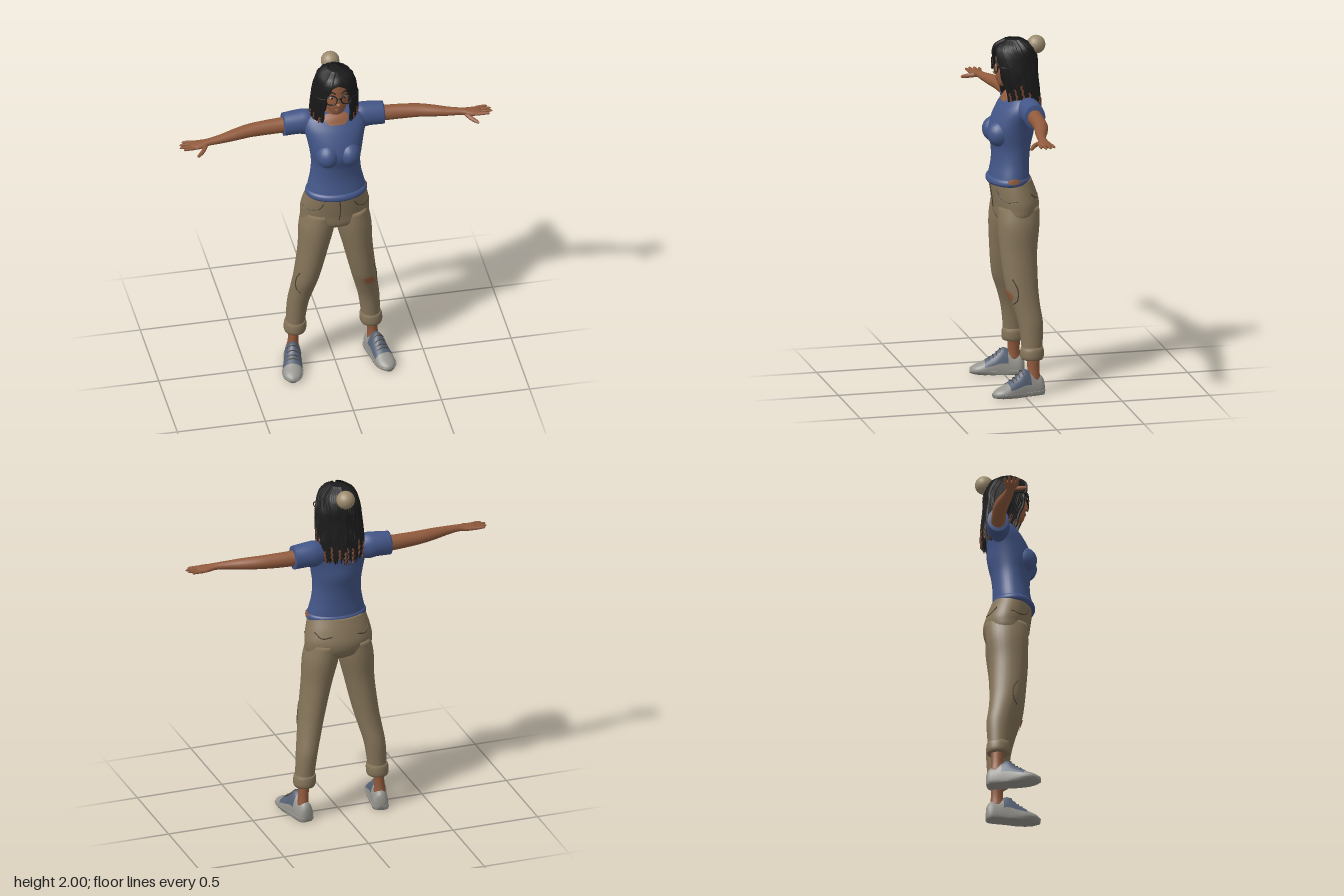
import * as THREE from 'three';
import { mergeGeometries, mergeVertices } from 'three/addons/utils/BufferGeometryUtils.js';

const V = (x, y, z) => new THREE.Vector3(x, y, z);
const mat = (name, color, side = THREE.FrontSide) => {
  const m = new THREE.MeshStandardMaterial({ color, side });
  m.name = name;
  return m;
};

// Profiles: rows of [height, centre z, half width, half depth, centre x], rising
const SHIRT = [[1.18, .03, .168, .115], [1.22, .025, .163, .11], [1.3, .018, .145, .104], [1.38, .015, .138, .11],
  [1.46, .015, .147, .128], [1.53, .005, .16, .12], [1.6, -.015, .175, .105], [1.645, -.03, .165, .088],
  [1.675, -.03, .125, .068], [1.69, -.03, .08, .05]];
const PELVIS = [[.95, 0, .1, .07], [.98, -.005, .178, .11], [1.05, -.012, .195, .127], [1.12, 0, .185, .125], [1.2, .02, .163, .115]];
const LEG = [[.21, -.055, .053, .058, .215], [.27, -.055, .054, .059, .213], [.4, -.05, .06, .07, .2], [.5, -.03, .066, .078, .18],
  [.6, -.01, .072, .092, .16], [.8, 0, .085, .105, .125], [.95, -.005, .1, .118, .103], [1.05, -.01, .09, .115, .09]];
const CUFF = [[.2, -.055, .058, .06, .216], [.215, -.055, .063, .066, .216], [.255, -.055, .062, .065, .214], [.27, -.055, .056, .06, .213]];
const ANKLE = [[.08, -.06, .034, .04, .228], [.14, -.06, .029, .034, .225], [.24, -.058, .033, .038, .217]];
const NECK = [[1.62, -.02, .08, .055], [1.665, -.02, .06, .047], [1.7, -.015, .046, .045], [1.78, 0, .045, .045]];
const HEAD = [[1.725, .062, .018, .018], [1.737, .054, .037, .034], [1.76, .034, .056, .06], [1.8, .018, .071, .081],
  [1.85, .006, .078, .092], [1.9, 0, .079, .095], [1.94, 0, .07, .082], [1.97, 0, .035, .04]];
const HAIR = [[1.53, -.045, .115, .1], [1.62, -.045, .13, .1], [1.7, -.035, .127, .104], [1.8, -.012, .12, .116],
  [1.87, -.008, .111, .119], [1.93, -.002, .094, .108], [1.965, 0, .068, .08], [1.985, 0, .03, .035]];
// Sideways profiles: [x, centre z, half height, half depth, minus height]
const ARM = [[.2, -.06, .05, .045, -1.61], [.28, -.055, .045, .042, -1.603], [.38, -.05, .042, .04, -1.602], [.48, -.04, .037, .04, -1.602],
  [.56, -.022, .032, .037, -1.6], [.65, 0, .024, .028, -1.597], [.72, .012, .019, .024, -1.595], [.76, .016, .018, .034, -1.59],
  [.8, .017, .015, .04, -1.588], [.825, .017, .01, .036, -1.588]];
const SLEEVE = [[.08, -.045, .045, .045, -1.615], [.15, -.052, .075, .062, -1.61], [.2, -.055, .071, .064, -1.612], [.285, -.055, .068, .059, -1.606]];
// Lengthwise shoe profile: [z, minus centre height, half width, half height]
const SHOE = [[-.12, -.03, .025, .05], [-.105, -.03, .04, .075], [-.06, -.03, .045, .088], [0, -.03, .046, .115],
  [.05, -.03, .05, .075], [.11, -.028, .055, .042], [.155, -.025, .045, .026], [.183, -.02, .018, .014]];

// Point on a profile at height y and angle a, measured from +z towards +x
function at(rows, y, a, off = 0, scale = 1) {
  let i = 0;
  while (i < rows.length - 2 && y > rows[i + 1][0]) i++;
  const p = rows[i], q = rows[i + 1], d = q[0] - p[0];
  const t = THREE.MathUtils.clamp((y - p[0]) / d, 0, 1);
  const slope = (k, c) => {
    const l = rows[Math.max(k - 1, 0)], r = rows[Math.min(k + 1, rows.length - 1)];
    return ((r[c] || 0) - (l[c] || 0)) / (r[0] - l[0]) * d;
  };
  const [cz, rx, rz, cx] = [1, 2, 3, 4].map(c => {
    const t2 = t * t, t3 = t2 * t;
    return (2 * t3 - 3 * t2 + 1) * (p[c] || 0) + (t3 - 2 * t2 + t) * slope(i, c)
      + (3 * t2 - 2 * t3) * (q[c] || 0) + (t3 - t2) * slope(i + 1, c);
  });
  return V(cx + (rx + off) * scale * Math.sin(a), y, cz + (rz + off) * scale * Math.cos(a));
}

// Surface over a profile; the angle limits may be functions of height
function sheet(rows, y0, y1, a0, a1, off = 0, ny = 24, na = 28, caps = false) {
  const pos = [], idx = [], f = (a, y) => (typeof a === 'function' ? a(y) : a);
  const lo = caps ? -1 : 0, hi = caps ? ny + 1 : ny;
  for (let j = lo; j <= hi; j++) {
    const y = y0 + (y1 - y0) * THREE.MathUtils.clamp(j / ny, 0, 1);
    for (let i = 0; i <= na; i++) {
      const a = f(a0, y) + (f(a1, y) - f(a0, y)) * i / na;
      pos.push(...at(rows, y, a, off, j < 0 || j > ny ? 0 : 1).toArray());
    }
  }
  const w = na + 1;
  for (let j = 0; j < hi - lo; j++) for (let i = 0; i < na; i++) {
    const k = j * w + i;
    idx.push(k, k + 1, k + w + 1, k, k + w + 1, k + w);
  }
  let g = new THREE.BufferGeometry();
  g.setAttribute('position', new THREE.Float32BufferAttribute(pos, 3));
  g.setIndex(idx);
  g = mergeVertices(g, 1e-5);
  g.computeVertexNormals();
  return g;
}
const loft = (rows, ny = 24, na = 28) => sheet(rows, rows[0][0], rows[rows.length - 1][0], 0, Math.PI * 2, 0, ny, na, true);
// Oval patch lying on a profile
const oval = (rows, y, h, a, w, off) => {
  const s = k => Math.sqrt(Math.max(0, 1 - ((k - y) / h) ** 2)) * w;
  return sheet(rows, y - h, y + h, k => a - s(k), k => a + s(k), off, 10, 8);
};

// Tube whose radius follows a rule along its length
function strand(points, radius, seg = 14, sides = 6) {
  const c = new THREE.CatmullRomCurve3(points), g = new THREE.TubeGeometry(c, seg, 1, sides), p = g.attributes.position;
  for (let i = 0; i < p.count; i++) {
    const t = Math.floor(i / (sides + 1)) / seg, o = c.getPointAt(t);
    const v = V().fromBufferAttribute(p, i).sub(o).multiplyScalar(radius(t)).add(o);
    p.setXYZ(i, v.x, v.y, v.z);
  }
  return g;
}
const ball = (x, y, z, a, b, c) => new THREE.SphereGeometry(1, 20, 14).scale(a, b, c).translate(x, y, z);
function mirror(g) {
  const m = g.clone().scale(-1, 1, 1), ix = m.index.array;
  for (let i = 0; i < ix.length; i += 3) [ix[i], ix[i + 1]] = [ix[i + 1], ix[i]];
  return m;
}

export function createModel() {
  const root = new THREE.Group(), D = THREE.DoubleSide;
  const skin = mat('skin', 0x925b3d), lip = mat('lips and hair tips', 0x74432f), blue = mat('shirt blue', 0x435688);
  const tan = mat('trouser tan', 0x857459), seam = mat('seam brown', 0x4f4433, D), black = mat('hair black', 0x1b1b1c, D);
  const bunTan = mat('bun tan', 0x9c8b6e), grey = mat('shoe grey', 0x96958f), slate = mat('shoe slate', 0x566174, D);
  const patchSkin = skin;
  const add = (name, g, m) => {
    const o = new THREE.Mesh(g, m);
    o.name = name;
    root.add(o);
  };
  const pair = (name, g, m) => { add('left' + name, g, m); add('right' + name, mirror(g), m); };

  // Shirt
  add('shirt', loft(SHIRT, 40, 40), blue);
  add('shirtHem', loft([[1.175, .03, .166, .114], [1.185, .03, .174, .121], [1.205, .028, .172, .119], [1.215, .026, .163, .11]], 10, 40), blue);
  pair('Bust', ball(.06, 1.462, .085, .066, .075, .077), blue);
  pair('Sleeve', loft(SLEEVE).rotateZ(-Math.PI / 2), blue);
  add('neckline', sheet(SHIRT, 1.64, 1.69, y => -.25 - 9 * (y - 1.64), y => .25 + 9 * (y - 1.64), .004, 8, 12), patchSkin);
  add('waistSkin', oval(SHIRT, 1.208, .016, 1.5, .3, .009), patchSkin);

  // Trousers
  add('trouserSeat', loft(PELVIS, 24, 40), tan);
  pair('TrouserLeg', loft(LEG, 40), tan);
  pair('Cuff', loft(CUFF, 8), tan);
  const line = (rows, pts) => strand(pts.map(([y, a]) => at(rows, y, a, .001)), () => .0035, 12, 5);
  pair('Pocket', line(PELVIS, [[1.15, .5], [1.11, .62], [1.09, .95], [1.1, 1.4]]), seam);
  pair('BackPocket', line(PELVIS, [[1.13, 2.1], [1.1, 2.4], [1.11, 2.75]]), seam);
  add('fly', line(PELVIS, [[1.17, 0], [1.1, .03], [1.03, 0]]), seam);
  pair('KneeFold', line(LEG, [[.66, .9], [.6, 1.15], [.54, .9], [.515, .4]]), seam);
  add('kneeTear', oval(LEG, .562, .03, .22, .48, .005), patchSkin);

  // Arms and hands
  pair('Arm', loft(ARM, 40, 20).rotateZ(-Math.PI / 2), skin);
  const taper = r => t => r * (t > .99 ? .02 : 1 - .45 * t ** 3);
  const fingers = [[-.015, -.022, .868], [.006, .003, .885], [.027, .03, .89], [.046, .055, .87]].map(([z0, z1, x]) =>
    strand([V(.8, 1.588, z0), V(.84, 1.59, (z0 + z1) / 2), V(x, 1.589, z1)], taper(.0095), 10, 8));
  fingers.push(strand([V(.735, 1.588, .02), V(.76, 1.578, .065), V(.8, 1.563, .1)], taper(.013), 10, 8));
  pair('Fingers', mergeGeometries(fingers), skin);

  // Ankles and shoes
  pair('Ankle', loft(ANKLE, 10, 18), skin);
  const place = (g, lo, hi) => {
    g.rotateX(Math.PI / 2);
    const p = g.attributes.position;
    for (let i = 0; i < p.count; i++) p.setY(i, THREE.MathUtils.clamp(p.getY(i), lo, hi));
    g.rotateY(.2).translate(.24, 0, 0);
    g.computeVertexNormals();
    return g;
  };
  pair('Shoe', place(loft(SHOE, 28), .004, 1), grey);
  pair('Sole', place(loft(SHOE.map(([z, c, w, h]) => [z, c, w + .005, h + .003]), 28), 0, .024), grey);
  pair('ShoeVamp', place(sheet(SHOE, -.03, .1, Math.PI - 1.25, Math.PI + 1.25, .003, 12, 14), 0, 1), slate);
  const laces = [.015, .035, .055, .075].map(z => place(strand([-.6, -.2, .2, .6].map(a => at(SHOE, z, Math.PI + a, .005)), () => .003, 8, 5), 0, 1));
  pair('Laces', mergeGeometries(laces), seam);

  // Head and face
  add('neck', loft(NECK, 12), skin);
  add('head', loft(HEAD, 36, 32), skin);
  add('nose', mergeGeometries([ball(0, 1.803, .1, .014, .011, .016), ball(0, 1.825, .097, .008, .026, .01)]), skin);
  add('lips', mergeGeometries([ball(0, 1.771, .091, .021, .005, .009), ball(0, 1.763, .089, .018, .0055, .009)]), lip);
  pair('Eye', ball(.036, 1.845, .083, .013, .007, .008), grey);
  pair('Iris', ball(.036, 1.845, .0885, .006, .006, .004), black);
  pair('Brow', strand([[1.875, .2], [1.885, .42], [1.876, .65]].map(([y, a]) => at(HEAD, y, a, .001)), () => .004, 8, 5), black);

  // Round glasses
  pair('GlassesRim', new THREE.TorusGeometry(.031, .0035, 8, 32).rotateY(.15).translate(.042, 1.845, .11), black);
  pair('GlassesTemple', strand([V(.072, 1.85, .105), V(.11, 1.853, .085), V(.12, 1.85, .02), V(.1, 1.84, -.03)], () => .003, 12, 6), black);
  add('glassesBridge', strand([V(-.012, 1.85, .114), V(0, 1.855, .117), V(.012, 1.85, .114)], () => .0035, 6, 6), black);

  // Hair: an undercoat open at the face, covered in long strands
  const open = y => (y > 1.925 ? 0 : Math.min(.66, .68 * Math.sqrt((1.925 - y) / .05)));
  add('hairUndercoat', sheet(HAIR, 1.6, 1.985, open, y => Math.PI * 2 - open(y), -.004, 48, 48), black);
  add('hairCrown', ball(0, 1.975, 0, .045, .013, .052), black);
  let seed = 7;
  const rand = () => (seed = (seed * 16807) % 2147483647) / 2147483647;
  const lock = (a, top, bottom, off, r) => {
    const pts = [];
    for (let k = 0; k <= 10; k++) {
      const y = top + (bottom - top) * k / 10;
      const s = THREE.MathUtils.clamp((y - 1.85) / .12, 0, 1);
      pts.push(at(HAIR, y, a * (1 - .6 * (1 - a / Math.PI) * s) + .03 * Math.sin(k * 2 + a * 9), off));
    }
    return strand(pts, t => r * (t > .99 ? .1 : 1 - .4 * t ** 4), 22, 5);
  };
  const locks = [], tips = [];
  for (const flip of [false, true]) for (let i = 0; i < 30; i++) {
    const a = .66 + (Math.PI - .66) * i / 29;
    const bottom = (a > 1.9 ? 1.55 : 1.615) + .035 * rand();
    const g = lock(a, 1.982, bottom, -.002 + .005 * rand(), .0095 + .003 * rand());
    locks.push(flip ? mirror(g) : g);
    if (i % 4 === 1) {
      const b = lock(a + .05, bottom + .07 + .04 * rand(), bottom + .005, .006, .0065);
      tips.push(flip ? mirror(b) : b);
    }
  }
  add('hairLocks', mergeGeometries(locks), black);
  add('hairTips', mergeGeometries(tips), lip);
  add('bun', ball(0, 1.948, -.132, .052, .052, .052), bunTan);
  return root;
}
